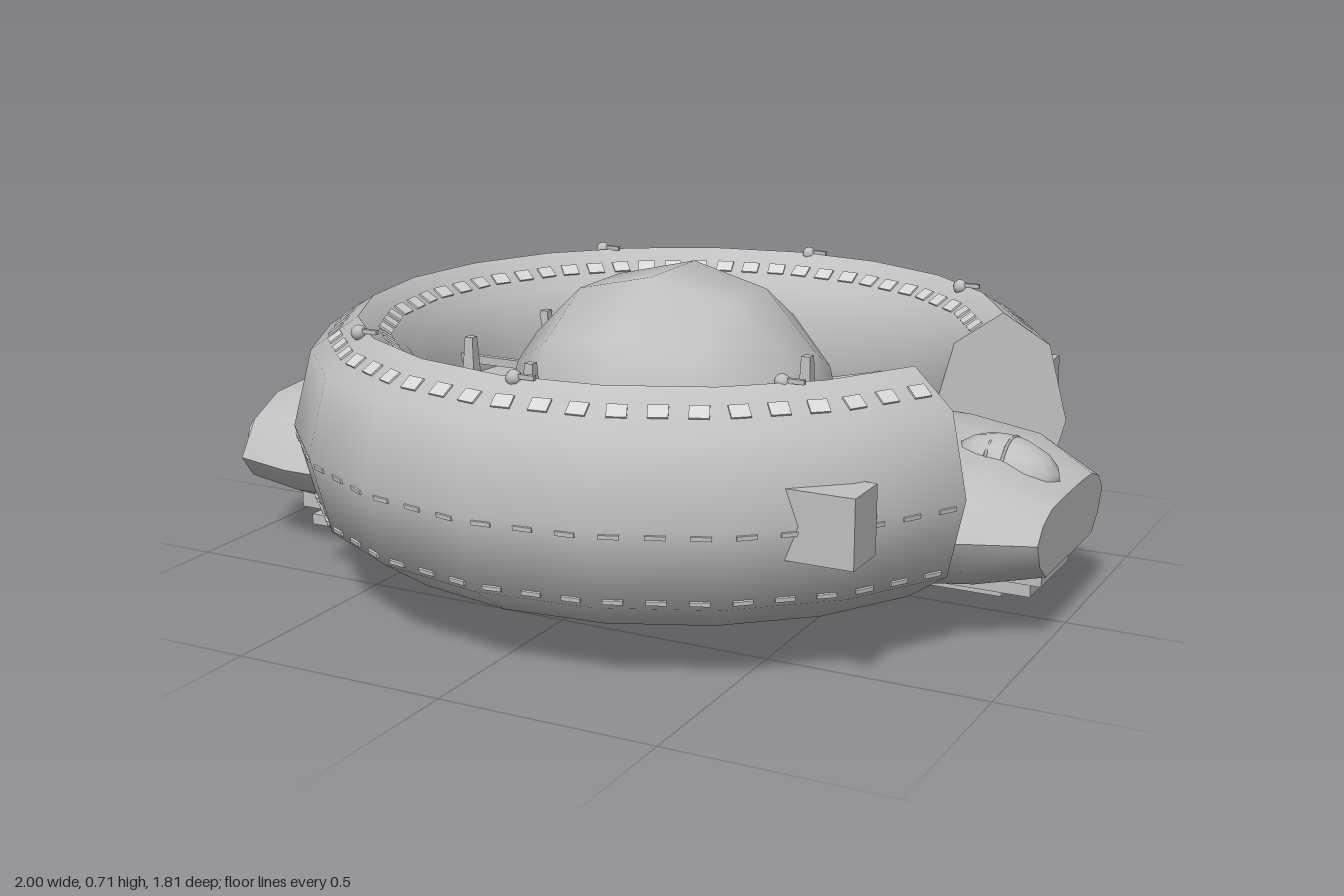
import * as THREE from 'three';
import { toCreasedNormals, mergeGeometries } from 'three/addons/utils/BufferGeometryUtils.js';

const plating = new THREE.MeshStandardMaterial({ color: 0xc0c0c0 });
plating.name = 'grey plating';
const glass = new THREE.MeshStandardMaterial({ color: 0xd6d6d6 });
glass.name = 'pale window';

// Skin a row of closed cross-sections and cap both ends.
function loft(sections, crease) {
  const n = sections[0].length, pos = [], index = [];
  sections.forEach(s => s.forEach(p => pos.push(p.x, p.y, p.z)));
  for (let i = 0; i < sections.length - 1; i++) {
    for (let j = 0; j < n; j++) {
      const a = i * n + j, b = i * n + (j + 1) % n, c = a + n, d = b + n;
      index.push(a, b, c, b, d, c);
    }
  }
  [0, sections.length - 1].forEach((i, end) => {
    const centre = new THREE.Vector3();
    sections[i].forEach(p => centre.addScaledVector(p, 1 / n));
    const c = pos.length / 3;
    pos.push(centre.x, centre.y, centre.z);
    for (let j = 0; j < n; j++) {
      const a = i * n + j, b = i * n + (j + 1) % n;
      index.push(c, end ? a : b, end ? b : a);
    }
  });
  const g = new THREE.BufferGeometry();
  g.setAttribute('position', new THREE.Float32BufferAttribute(pos, 3));
  g.setIndex(index);
  return toCreasedNormals(g, crease);
}

export function createModel() {
  const model = new THREE.Group();
  model.name = 'ringShip';
  const add = (name, geometry, x = 0, y = 0, z = 0, material = plating) => {
    const m = new THREE.Mesh(geometry, material);
    m.name = name;
    m.position.set(x, y, z);
    model.add(m);
    return m;
  };
  // Box given by its extents.
  const slab = (name, x0, x1, y0, y1, z0, z1) =>
    add(name, new THREE.BoxGeometry(x1 - x0, y1 - y0, z1 - z0), (x0 + x1) / 2, (y0 + y1) / 2, (z0 + z1) / 2);

  // Open ring with an octagonal section
  const CX = 0.04, SEG = 18, START = Math.PI / 8, STEP = (Math.PI * 2 - START * 2) / SEG;
  const ring = [];
  for (let i = 0; i <= SEG; i++) {
    const t = START + i * STEP, loop = [];
    for (let j = 0; j < 8; j++) {
      const p = j * Math.PI / 4, r = 0.75 + 0.156 * Math.cos(p);
      loop.push(new THREE.Vector3(CX + r * Math.cos(t), 0.365 + 0.255 * Math.sin(p), r * Math.sin(t)));
    }
    ring.push(loop);
  }
  add('ring', loft(ring, 0.9));

  // Window plates: radius, height, tilt, plate width
  const rows = [[0.808, 0.581, -0.6, 0.034], [0.692, 0.581, 0.6, 0.034],
    [0.902, 0.35, -1.8, 0.01], [0.865, 0.2, -1.82, 0.01]];
  const plates = [];
  for (const [r, y, tilt, width] of rows) {
    for (let i = 0; i < SEG; i++) {
      for (let k = -1; k <= 1; k++) {
        const g = new THREE.BoxGeometry(width, 0.008, 0.042);
        g.rotateZ(tilt);
        g.translate(r * Math.cos(STEP / 2), y, k * r * STEP / 3);
        g.rotateY(-(START + (i + 0.5) * STEP));
        g.translate(CX, 0, 0);
        plates.push(g);
      }
    }
  }
  add('ringWindows', mergeGeometries(plates), 0, 0, 0, glass);

  // Hull stations: x, half width, top, middle, bottom
  const half = [[0.3, 1], [0.62, 0.94], [0.86, 0.6], [1, 0], [0.9, -0.6], [0.7, -1]];
  const stations = [[-0.96, 0.4, 0.36, 0.22, 0.13], [-0.8, 0.44, 0.385, 0.22, 0.12], [0.4, 0.44, 0.385, 0.22, 0.12],
    [0.68, 0.39, 0.39, 0.25, 0.13], [0.86, 0.325, 0.375, 0.26, 0.14], [1, 0.24, 0.31, 0.25, 0.16]];
  add('hull', loft(stations.map(([x, w, top, mid, bottom]) => {
    const point = (u, v, s) => new THREE.Vector3(x, mid + v * (v > 0 ? top - mid : mid - bottom), s * u * w);
    return [...half.map(([u, v]) => point(u, v, 1)), ...half.slice().reverse().map(([u, v]) => point(u, v, -1))];
  }), 0.75));

  // Central dome, poles along x, running through the hull
  const dome = new THREE.SphereGeometry(1, 11, 6);
  dome.rotateZ(-Math.PI / 2);
  dome.rotateX(-Math.PI / 2);
  // Turn until one edge column points straight down
  const p = dome.attributes.position;
  let low = 0;
  for (let i = 1; i < p.count; i++) {
    if (Math.abs(p.getX(i)) < 0.01 && p.getY(i) < p.getY(low)) low = i;
  }
  dome.rotateX(Math.atan2(p.getZ(low), -p.getY(low)));
  dome.scale(0.392, 0.362, 0.395);
  add('dome', dome, 0.02, 0.362, 0);

  // Struts between dome and ring, cargo boxes on the ring
  for (const s of [-1, 1]) {
    for (const [x0, z0, x1, z1] of [[-0.06, 0.34, -0.14, 0.62], [0.22, 0.3, 0.4, 0.54]]) {
      const strut = add('strut', new THREE.BoxGeometry(0.06, 0.04, Math.hypot(x1 - x0, z1 - z0)),
        (x0 + x1) / 2, 0.365, s * (z0 + z1) / 2);
      strut.rotation.y = s * Math.atan2(x1 - x0, z1 - z0);
    }
    slab('sideBox', 0.61, 0.76, 0.29, 0.44, s * 0.607 - 0.058, s * 0.607 + 0.058);
    slab('bellyEdge', -0.7, 0.44, 0.11, 0.135, s * 0.44 - 0.03, s * 0.44 + 0.03);
    slab('bellyRail', -0.9, 0.5, 0.06, 0.12, s * 0.225 - 0.02, s * 0.225 + 0.02);
  }

  // Stepped belly plates
  slab('rearBellyPlate', -0.91, -0.3, 0.075, 0.13, -0.22, 0.22);
  slab('bellyPlate', -0.5, 0.6, 0.09, 0.13, -0.22, 0.22);
  [[-0.9, 0.97, 0.11, 0.1], [-0.88, 0.94, 0.075, 0.08], [-0.84, 0.87, 0.06, 0.065],
    [-0.31, 0.35, 0.045, 0.05], [-0.24, 0.28, 0.02, 0.035]]
    .forEach(([x0, x1, y, w]) => slab('keelStep', x0, x1, y, 0.14, -w, w));

  // Rear engines
  for (let i = -2; i <= 2; i++) {
    const engine = add('engine', new THREE.CylinderGeometry(0.038, 0.05, 0.08, 12), -0.96, 0.25, i * 0.142);
    engine.rotation.z = Math.PI / 2;
    const lower = add('rearVent', new THREE.CylinderGeometry(0.018, 0.018, 0.06, 8), -0.92, 0.12, i * 0.1);
    lower.rotation.z = Math.PI / 2;
  }
  for (const y of [0.43, 0.5]) {
    const pod = add('rearPod', new THREE.CylinderGeometry(0.023, 0.023, 0.03, 10), -0.88, y, 0);
    pod.rotation.z = Math.PI / 2;
  }

  // Cockpit canopy with two raised ribs
  const canopy = new THREE.SphereGeometry(1, 12, 8);
  canopy.scale(0.125, 0.075, 0.088);
  add('cockpit', canopy, 0.85, 0.335, 0).rotation.z = -0.2;
  for (const x of [0.82, 0.86]) {
    const rib = new THREE.TorusGeometry(0.085, 0.004, 4, 16, Math.PI);
    rib.rotateY(Math.PI / 2);
    rib.scale(1, 0.87, 1);
    add('cockpitRib', rib, x, 0.335, 0);
  }

  // Tapered deck towers: x, z, top height
  [[0.585, 0.045, 0.49], [0.65, 0.01, 0.5], [0.39, 0.215, 0.5], [0.45, 0.195, 0.59], [0.5, 0.28, 0.48],
    [-0.365, -0.125, 0.53], [-0.465, 0.125, 0.52], [-0.18, 0.32, 0.53], [-0.5, -0.29, 0.5]]
    .forEach(([x, z, top]) => {
      const tower = new THREE.CylinderGeometry(0.015, 0.033, top - 0.3, 4).toNonIndexed();
      tower.rotateY(Math.PI / 4);
      tower.computeVertexNormals();
      add('deckTower', tower, x, (top + 0.3) / 2, z);
    });
  slab('rearBridge', -0.6, -0.33, 0.42, 0.44, -0.008, 0.008);

  // Small guns along the ring crest
  for (const s of [-1, 1]) {
    for (const [x, z] of [[0.04, 0.75], [0.54, 0.53], [-0.48, 0.56]]) {
      add('turret', new THREE.SphereGeometry(0.018, 8, 6), x, 0.618, s * z);
      slab('gunBarrel', x, x + 0.05, 0.618, 0.628, s * z - 0.005, s * z + 0.005);
    }
  }
  return model;
}
